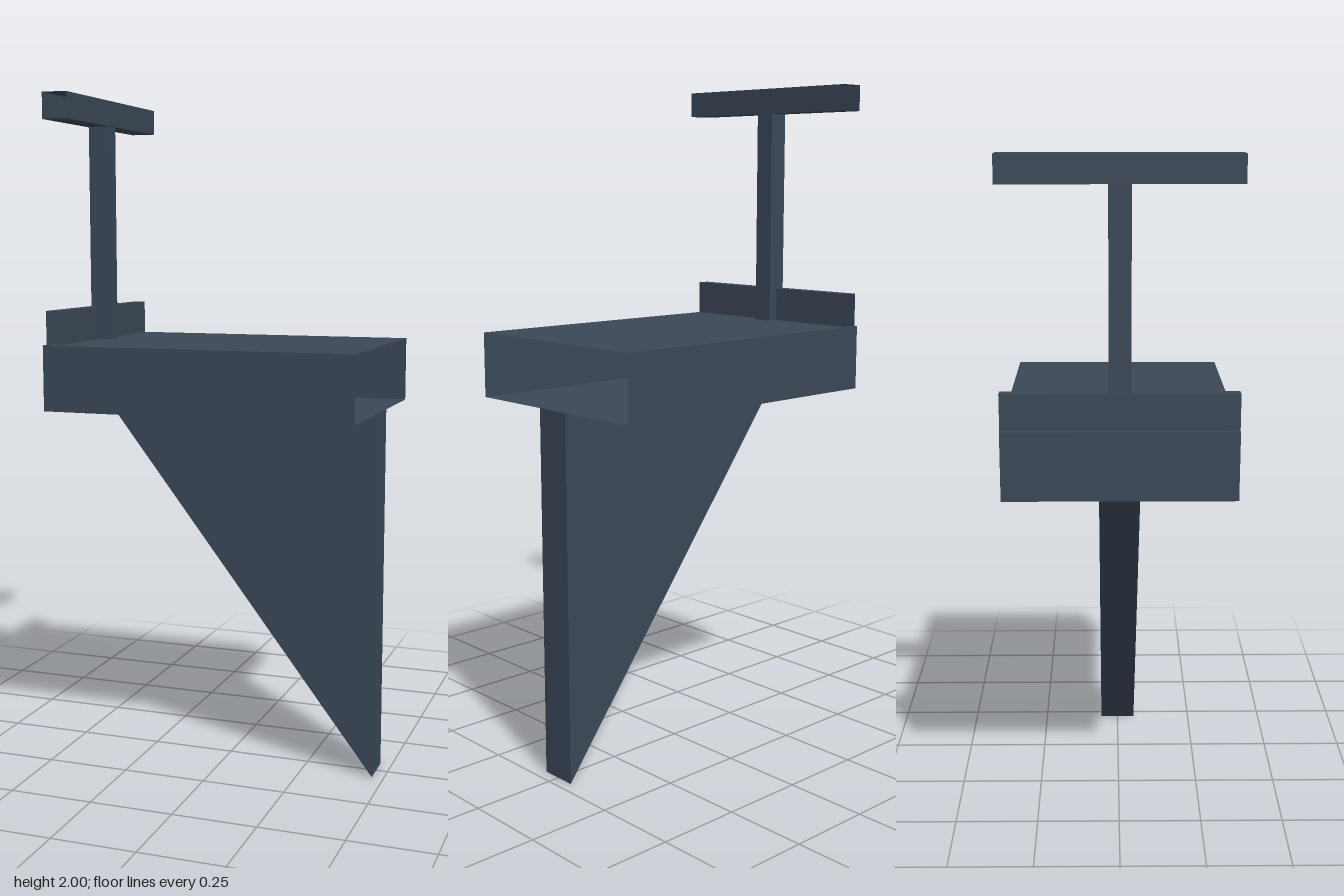
import * as THREE from 'three';

const slate = new THREE.MeshStandardMaterial({ color: 0x3a4756, side: THREE.DoubleSide });
slate.name = 'slate';

// Box between two corners, leaving out the listed sides
const SIDES = ['+x', '-x', '+y', '-y', '+z', '-z'];
function openBox(name, [x0, y0, z0], [x1, y1, z1], open) {
  const geometry = new THREE.BoxGeometry(x1 - x0, y1 - y0, z1 - z0);
  const index = Array.from(geometry.index.array);
  geometry.setIndex(index.filter((_, i) => !open.includes(SIDES[Math.floor(i / 6)])));
  geometry.clearGroups();
  geometry.translate((x0 + x1) / 2, (y0 + y1) / 2, (z0 + z1) / 2);
  const mesh = new THREE.Mesh(geometry, slate);
  mesh.name = name;
  return mesh;
}

export function createModel() {
  const model = new THREE.Group();
  model.name = 'bracketShelf';

  // Hollow platform, open at the +x end
  model.add(openBox('platform', [-0.465, 1.093, -0.32], [0.465, 1.285, 0.32], ['+x']));

  // Low kerb and top crossbar are tubes with open ends
  model.add(openBox('kerb', [-0.4525, 1.285, -0.32], [-0.416, 1.385, 0.32], ['+z', '-z', '-y']));
  model.add(openBox('crossbar', [-0.4525, 1.925, -0.32], [-0.3775, 2, 0.32], ['+z', '-z']));

  // Upright post
  model.add(openBox('post', [-0.445, 1.285, -0.03], [-0.385, 1.925, 0.03], ['+y', '-y']));

  // Triangular support fin
  const outline = new THREE.Shape([
    new THREE.Vector2(0.465, 0),
    new THREE.Vector2(0.465, 1.093),
    new THREE.Vector2(-0.375, 1.093),
  ]);
  const finGeometry = new THREE.ExtrudeGeometry(outline, { depth: 0.114, bevelEnabled: false });
  finGeometry.translate(0, 0, -0.057);
  const fin = new THREE.Mesh(finGeometry, slate);
  fin.name = 'supportFin';
  model.add(fin);

  return model;
}
